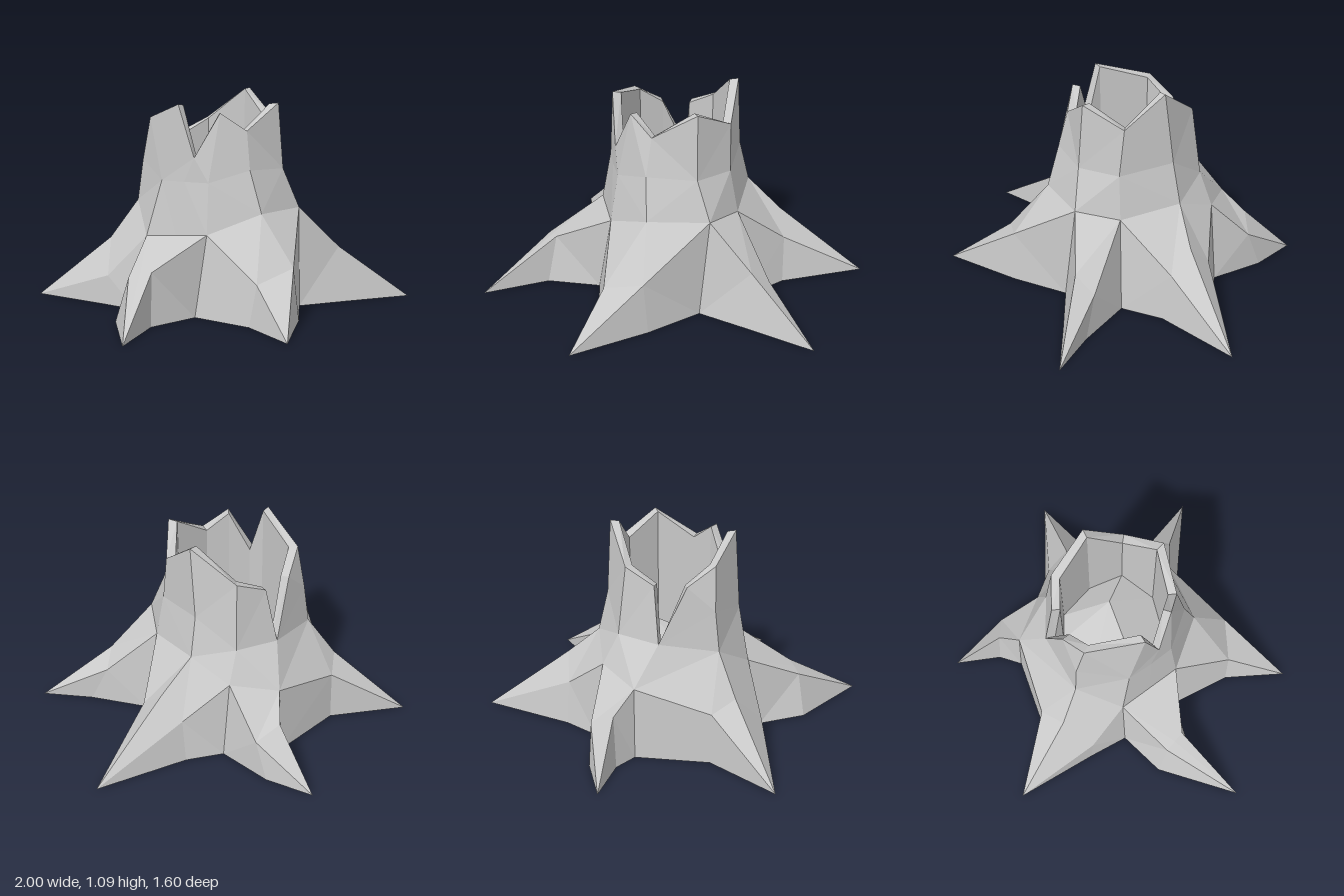
import * as THREE from 'three';

const bark = new THREE.MeshStandardMaterial({ color: 0xc9c9c9 });
bark.name = 'grey bark';

const vec = (p) => new THREE.Vector3(...p);

// Facets between an upper and a lower row of points, split along the
// shorter diagonal and skipping collapsed triangles
function strip(tris, upper, lower) {
  const add = (a, b, c) => {
    if (new THREE.Triangle(vec(a), vec(b), vec(c)).getArea() > 1e-6) tris.push(...a, ...b, ...c);
  };
  for (let i = 0; i + 1 < upper.length; i++) {
    const a = upper[i], b = upper[i + 1], c = lower[i + 1], d = lower[i];
    if (vec(a).distanceTo(vec(c)) < vec(b).distanceTo(vec(d))) {
      add(a, b, c);
      add(a, c, d);
    } else {
      add(a, b, d);
      add(b, c, d);
    }
  }
}

function facetMesh(name, tris) {
  const g = new THREE.BufferGeometry();
  g.setAttribute('position', new THREE.Float32BufferAttribute(tris, 3));
  g.computeVertexNormals();
  const m = new THREE.Mesh(g, bark);
  m.name = name;
  return m;
}

const close = (row) => [...row, row[0]];

export function createModel() {
  const stump = new THREE.Group();
  stump.name = 'hollowStump';

  // Trunk columns, going round from +x towards +z: jagged rim, waist, root crown
  const crack = [0.08, 0.57, -0.35];
  const rim = [
    [0.32, 1.09, 0], [0.27, 0.93, 0.2], [0.1, 1.03, 0.33], [-0.12, 0.9, 0.29],
    [-0.22, 0.99, 0.2], [-0.3, 0.77, 0.1], [-0.31, 1.03, 0.01], [-0.2, 0.95, -0.26],
    [-0.06, 0.86, -0.31], crack, [0.1, 0.86, -0.29], [0.24, 0.93, -0.22],
  ];
  const waist = [
    [0.34, 0.72, -0.04], [0.27, 0.69, 0.23], [0.1, 0.7, 0.36], [-0.15, 0.71, 0.33],
    [-0.29, 0.65, 0.18], [-0.315, 0.65, 0.05], [-0.33, 0.65, -0.08], [-0.2, 0.73, -0.31],
    crack, crack, crack, [0.28, 0.58, -0.25],
  ];
  const A = [0.39, 0.51, -0.05], B = [0.31, 0.47, 0.25], C = [0.16, 0.5, 0.42];
  const D = [-0.15, 0.5, 0.4], E = [-0.33, 0.4, 0.2], EF = [-0.355, 0.385, 0.03];
  const F = [-0.38, 0.37, -0.14], G = [-0.22, 0.52, -0.33];
  const I = [0.2, 0.38, -0.46], H = [0.36, 0.42, -0.27];
  const crown = [A, B, C, D, E, EF, F, G, I, I, I, H];

  const trunk = [];
  strip(trunk, close(rim), close(waist));
  strip(trunk, close(waist), close(crown));
  stump.add(facetMesh('trunk', trunk));

  // Hollow: rim thickness and inner wall, with a floor of three sloping planes
  const peak = [0.12, 0.54, 0.04];
  const slopes = [[-0.25, -0.43], [0.65, -0.32], [-0.46, 0.57]];
  const floorHeight = (x, z) =>
    peak[1] - Math.max(...slopes.map(([sx, sz]) => sx * (x - peak[0]) + sz * (z - peak[2])));
  const inner = rim.map(([x, y, z]) => [x * 0.86, y - 0.005, z * 0.86]);
  const floorEdge = inner.map(([x, , z]) => [x, floorHeight(x, z), z]);
  const rimTop = [], wall = [], floor = [];
  strip(rimTop, close(inner), close(rim));
  strip(wall, close(floorEdge), close(inner));
  strip(floor, close(floorEdge).map(() => peak), close(floorEdge));
  stump.add(facetMesh('rim', rimTop), facetMesh('innerWall', wall), facetMesh('hollowFloor', floor));

  // Ground points in the valleys between the roots
  const valleys = [
    [0.41, 0, -0.27], [0.38, 0, 0.29], [0.11, 0, 0.46],
    [-0.4, 0, 0.18], [-0.45, 0, -0.16], [0.2, 0, -0.48],
  ];
  // Each root: crown points, knee points below them, ground points, tip
  const roots = [
    { crown: [H, A, B], knee: [[0.55, 0.23, -0.12], [0.56, 0.35, 0], [0.57, 0.24, 0.12]],
      feet: [[0.565, 0, -0.15], [0.565, 0, 0.165]], tip: [1, 0, 0.06] },
    { crown: [B, C], knee: [[0.455, 0.2, 0.49], [0.36, 0.28, 0.54]],
      feet: [[0.505, 0, 0.57], [0.35, 0, 0.61]], tip: [0.645, 0, 0.8] },
    { crown: [C, D, E], knee: [[-0.17, 0.26, 0.6], [-0.365, 0.2, 0.52], [-0.365, 0.2, 0.52]],
      feet: [[-0.15, 0, 0.62], [-0.4, 0, 0.5]], tip: [-0.53, 0, 0.8] },
    { crown: [E, EF, F], knee: [[-0.62, 0.25, 0.09], [-0.64, 0.24, 0.035], [-0.66, 0.22, -0.02]],
      feet: [[-0.67, 0, 0.125], [-0.69, 0, -0.08]], tip: [-1, 0, 0.235] },
    { crown: [F, G, I], knee: [[-0.44, 0.15, -0.35], [-0.3, 0.32, -0.45], [-0.18, 0.27, -0.52]],
      feet: [[-0.455, 0, -0.37], [-0.175, 0, -0.53]], tip: [-0.48, 0, -0.8] },
    { crown: [I, H], knee: [[0.3, 0.27, -0.54], [0.415, 0.2, -0.48]],
      feet: [[0.29, 0, -0.57], [0.425, 0, -0.555]], tip: [0.37, 0, -0.8] },
  ];

  const outline = [];
  roots.forEach(({ crown: top, knee, feet, tip }, i) => {
    const before = valleys[i], after = valleys[(i + 1) % valleys.length];
    const n = top.length - 1;
    const tris = [];
    strip(tris, top, knee);
    strip(tris, knee, knee.map(() => tip));
    strip(tris, [top[0], knee[0], tip], [before, feet[0], tip]);
    strip(tris, [tip, knee[n], top[n]], [tip, feet[1], after]);
    stump.add(facetMesh('root' + (i + 1), tris));
    outline.push(before, feet[0], tip, feet[1]);
  });

  // Flat underside
  const shape = new THREE.Shape(outline.map(([x, , z]) => new THREE.Vector2(x, z)));
  const underside = new THREE.Mesh(new THREE.ShapeGeometry(shape).rotateX(Math.PI / 2), bark);
  underside.name = 'underside';
  stump.add(underside);

  return stump;
}
